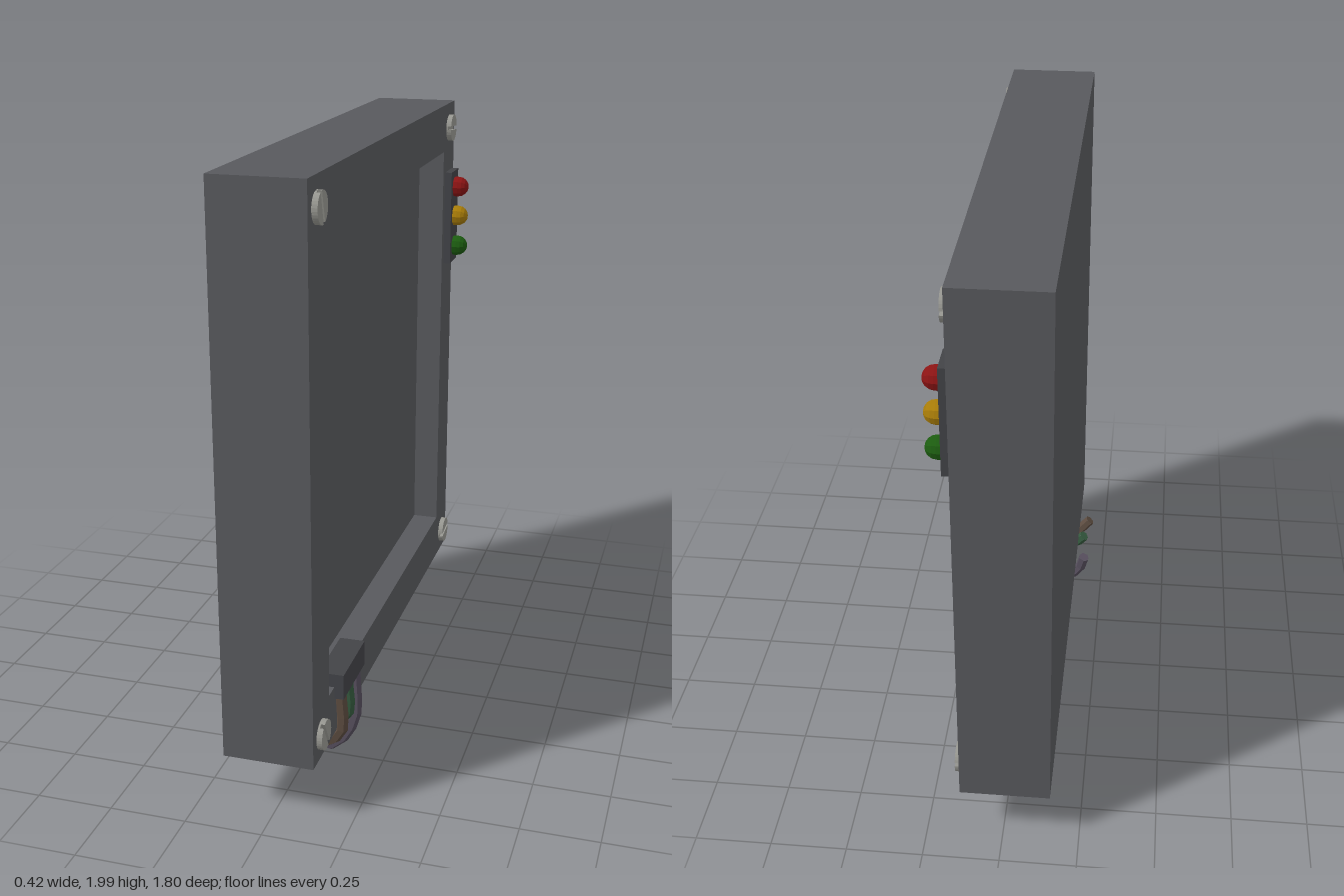
import * as THREE from 'three';

const mat = (color) => new THREE.MeshStandardMaterial({ color, flatShading: true });
const BODY = mat(0x58595d), DARK = mat(0x424347), METAL = mat(0x969690);

// Axis-aligned box given by its limits
function box(name, x0, x1, y0, y1, z0, z1, material) {
  const m = new THREE.Mesh(new THREE.BoxGeometry(x1 - x0, y1 - y0, z1 - z0), material);
  m.name = name;
  m.position.set((x0 + x1) / 2, (y0 + y1) / 2, (z0 + z1) / 2);
  return m;
}

function rect(path, x0, x1, y0, y1) {
  path.moveTo(x0, y0);
  path.lineTo(x1, y0);
  path.lineTo(x1, y1);
  path.lineTo(x0, y1);
  path.closePath();
  return path;
}

// Slotted screw: thin disc plus two raised half heads, facing +x
function screw(y, z, angle) {
  const g = new THREE.Group();
  g.name = 'screw';
  const r = 0.048, a = 0.14;
  const base = new THREE.Mesh(new THREE.CylinderGeometry(r, r, 0.012, 14), METAL);
  base.name = 'screwBase';
  base.rotation.x = Math.PI / 2;
  g.add(base);
  for (const turn of [0, Math.PI]) {
    const half = new THREE.Shape();
    half.absarc(0, 0, r, a, Math.PI - a, false);
    half.closePath();
    const geo = new THREE.ExtrudeGeometry(half, { depth: 0.018, bevelEnabled: false, curveSegments: 7 });
    const m = new THREE.Mesh(geo, METAL);
    m.name = 'screwHead';
    m.rotation.z = turn + angle;
    g.add(m);
  }
  g.rotation.y = Math.PI / 2;
  g.position.set(0.137, y, z);
  return g;
}

// Indicator lamp: short stem with a domed end, facing +x
function lamp(name, y, color) {
  const r = 0.037;
  const pts = [new THREE.Vector2(r, -0.025)];
  for (let i = 0; i <= 4; i++) {
    const t = (i / 4) * Math.PI / 2;
    pts.push(new THREE.Vector2(i === 4 ? 0 : r * Math.cos(t), r * Math.sin(t)));
  }
  const m = new THREE.Mesh(new THREE.LatheGeometry(pts, 10), mat(color));
  m.name = name;
  m.rotation.z = -Math.PI / 2;
  m.position.set(0.178, y, -0.822);
  return m;
}

// Low-poly cable with closed ends
function cable(name, color, points) {
  const curve = new THREE.CatmullRomCurve3(points.map((p) => new THREE.Vector3(...p)));
  const g = new THREE.Group();
  g.name = name;
  const material = mat(color), r = 0.02;
  g.add(new THREE.Mesh(new THREE.TubeGeometry(curve, 12, r, 6), material));
  const cap = new THREE.Mesh(new THREE.CircleGeometry(r, 6), material);
  cap.position.copy(curve.getPoint(1));
  cap.lookAt(cap.position.clone().add(curve.getTangent(1)));
  g.add(cap);
  g.children.forEach((c) => { c.name = name + 'Part'; });
  return g;
}

export function createModel() {
  const model = new THREE.Group();
  model.name = 'wallPanel';

  // Casing: solid back slab and raised rim around the recess
  model.add(box('backSlab', -0.155, 0.045, 0.2, 2, -0.9, 0.9, BODY));
  const rim = rect(new THREE.Shape(), -0.9, 0.9, 0.2, 2);
  rim.holes.push(rect(new THREE.Path(), -0.735, 0.735, 0.365, 1.83));
  const frame = new THREE.Mesh(new THREE.ExtrudeGeometry(rim, { depth: 0.092, bevelEnabled: false }), BODY);
  frame.name = 'rim';
  frame.rotation.y = Math.PI / 2;
  frame.position.x = 0.045;
  model.add(frame);

  // Corner screws, each with its own slot direction
  for (const [y, z, angle] of [[1.91, 0.82, 1.85], [1.91, -0.815, -0.08], [0.28, 0.82, 2.1], [0.28, -0.82, 0.15]])
    model.add(screw(y, z, angle));

  // Indicator strip
  model.add(box('lampPlate', 0.13, 0.162, 1.405, 1.75, -0.878, -0.765, DARK));
  model.add(lamp('redLamp', 1.69, 0x8c1414));
  model.add(lamp('yellowLamp', 1.58, 0xa87c08));
  model.add(lamp('greenLamp', 1.465, 0x1c5c10));

  // Cable connector
  model.add(box('connector', 0.085, 0.168, 0.325, 0.41, 0.44, 0.68, DARK));

  // Cables running from the connector under the casing to the back
  model.add(cable('brownCable', 0x5c4c40, [
    [0.148, 0.34, 0.65], [0.148, 0.19, 0.645], [0.08, 0.13, 0.63],
    [-0.05, 0.115, 0.62], [-0.13, 0.15, 0.625], [-0.195, 0.22, 0.627]]));
  model.add(cable('greenCable', 0x365c40, [
    [0.148, 0.34, 0.575], [0.146, 0.21, 0.56], [0.09, 0.16, 0.54],
    [-0.05, 0.155, 0.53], [-0.14, 0.175, 0.53], [-0.178, 0.22, 0.515]]));
  model.add(cable('purpleCable', 0x58505f, [
    [0.148, 0.34, 0.49], [0.145, 0.14, 0.485], [0.06, 0.026, 0.475],
    [-0.06, 0.065, 0.445], [-0.155, 0.11, 0.425], [-0.185, 0.2, 0.4]]));

  return model;
}
